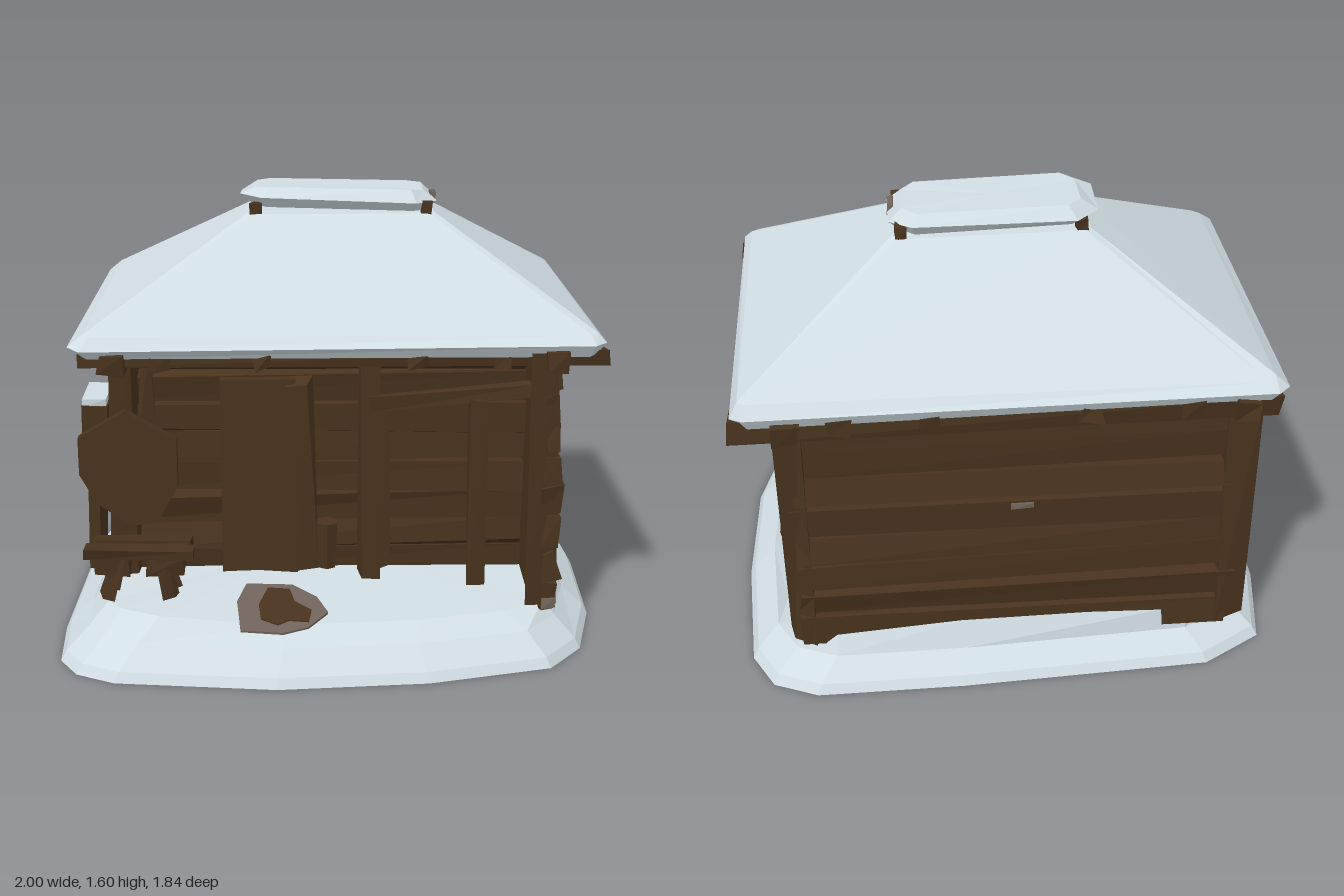
import * as THREE from 'three';

const mat = (name, color) => Object.assign(new THREE.MeshStandardMaterial({ color, flatShading: true }), { name });

export function createModel() {
  const root = new THREE.Group();
  root.name = 'snowyCabin';
  const snow = mat('snow', 0xd0dde3);
  const wood = mat('darkWood', 0x48331e);
  const mud = mat('greyMud', 0x72645b);

  let seed = 7;
  const rnd = () => ((seed = (seed * 16807) % 2147483647) / 2147483647) * 2 - 1;

  const add = (name, geo, m, parent = root) => {
    const mesh = new THREE.Mesh(geo, m);
    mesh.name = name;
    parent.add(mesh);
    return mesh;
  };
  const group = (name) => {
    const g = new THREE.Group();
    g.name = name;
    root.add(g);
    return g;
  };

  // Rough-hewn board: a box whose eight corners are nudged
  const board = (name, [x0, x1], [y0, y1], [z0, z1], parent = root, rough = 0.012, m = wood) => {
    const geo = new THREE.BoxGeometry(x1 - x0, y1 - y0, z1 - z0);
    const nudges = Array.from({ length: 8 }, () => [rnd() * rough, rnd() * rough, rnd() * rough]);
    const p = geo.attributes.position;
    for (let i = 0; i < p.count; i++) {
      const [x, y, z] = [p.getX(i), p.getY(i), p.getZ(i)];
      const n = nudges[(x > 0 ? 1 : 0) + (y > 0 ? 2 : 0) + (z > 0 ? 4 : 0)];
      p.setXYZ(i, x + n[0], y + n[1], z + n[2]);
    }
    geo.computeVertexNormals();
    const mesh = add(name, geo, m, parent);
    mesh.position.set((x0 + x1) / 2, (y0 + y1) / 2, (z0 + z1) / 2);
    return mesh;
  };

  // Closed solid through rings of [x, y, z], listed counter-clockwise from above
  const loft = (rings, topCentre) => {
    const v = [];
    const n = rings[0].length;
    const mean = (r) => [0, 1, 2].map((k) => r.reduce((s, p) => s + p[k], 0) / n);
    const top = rings[rings.length - 1];
    const c0 = mean(rings[0]);
    const c1 = topCentre || mean(top);
    for (let i = 0; i < n; i++) {
      const j = (i + 1) % n;
      for (let r = 0; r + 1 < rings.length; r++) {
        const [a, b, c, d] = [rings[r][i], rings[r][j], rings[r + 1][j], rings[r + 1][i]];
        v.push(...a, ...b, ...c, ...a, ...c, ...d);
      }
      v.push(...c0, ...rings[0][j], ...rings[0][i], ...c1, ...top[i], ...top[j]);
    }
    const g = new THREE.BufferGeometry();
    g.setAttribute('position', new THREE.Float32BufferAttribute(v, 3));
    g.computeVertexNormals();
    return g;
  };

  // Snow bank under the cabin, rounding over towards the walls
  const rim = [[-0.98, 0.68], [-0.91, 0.79], [-0.77, 0.86], [-0.2, 0.92], [0.33, 0.88], [0.77, 0.77], [0.9, 0.61],
    [0.98, 0.3], [1, -0.2], [0.97, -0.7], [0.89, -0.85], [0.73, -0.92], [0.2, -0.92], [-0.7, -0.88], [-0.92, -0.75],
    [-0.98, -0.4], [-1, 0.4]];
  const crest = [[-0.82, 0.17, 0.54], [-0.76, 0.175, 0.62], [-0.62, 0.18, 0.7], [-0.2, 0.15, 0.72], [0.3, 0.15, 0.68],
    [0.62, 0.155, 0.62], [0.77, 0.16, 0.53], [0.83, 0.18, 0.25], [0.84, 0.19, -0.1], [0.83, 0.21, -0.62],
    [0.76, 0.21, -0.72], [0.65, 0.2, -0.78], [0.2, 0.2, -0.79], [-0.64, 0.2, -0.78], [-0.78, 0.2, -0.66],
    [-0.84, 0.2, -0.35], [-0.84, 0.18, 0.3]];
  add('snowBank', loft([
    rim.map(([x, z]) => [x, 0, z]),
    rim.map(([x, z]) => [x * 0.98, 0.035, z * 0.98]),
    rim.map(([x, z]) => [x * 0.9, z > 0.5 ? 0.11 : 0.1, z * 0.9]),
    crest,
  ], [0, 0.2, 0]), snow);

  // Trodden patch before the door, in two tones
  const patch = (name, pts, y, m) => {
    const s = new THREE.Shape(pts.map(([x, z]) => new THREE.Vector2(x, 0.68 - z)));
    const mesh = add(name, new THREE.ExtrudeGeometry(s, { depth: 0.008, bevelEnabled: false }), m);
    mesh.rotation.x = -Math.PI / 2 + 0.11;
    mesh.position.set(0, y, 0.68);
  };
  patch('muddyPatch', [[-0.33, 0.77], [-0.18, 0.79], [-0.09, 0.75], [-0.02, 0.65], [-0.06, 0.54], [-0.15, 0.45],
    [-0.32, 0.44], [-0.35, 0.57]], 0.158, mud);
  patch('bareEarth', [[-0.26, 0.7], [-0.2, 0.74], [-0.16, 0.71], [-0.09, 0.72], [-0.08, 0.64], [-0.14, 0.58],
    [-0.16, 0.49], [-0.24, 0.48], [-0.27, 0.6]], 0.163, wood);

  // Wall core and rows of overlapping planks
  const walls = group('walls');
  board('wallCore', [-0.76, 0.74], [0.12, 1.12], [-0.71, 0.21], walls, 0);
  board('porchSideWall', [0.72, 0.76], [0.12, 1.1], [0.18, 0.53], walls, 0);
  const rows = 8;
  const h = 0.94 / rows;
  for (let i = 0; i < rows; i++) {
    const y = [0.14 + i * h, 0.14 + (i + 1) * h - 0.008];
    const t = 0.025 * (1 - i / rows);
    const tilt = (s) => rnd() * s;
    const turn = (mesh, x, z) => mesh.rotation.set(x, 0, z);
    turn(board('rightPlank', [0.75, 0.81], y, [-0.72, 0.55 + t], walls, 0.014), tilt(0.014), tilt(0.12));
    turn(board('leftPlank', [-0.81, -0.75], y, [-0.74 - t, 0.27], walls, 0.014), tilt(0.014), tilt(0.12));
    turn(board('backPlank', [-0.78, 0.78], y, [-0.76 - t, -0.7], walls, 0.014), tilt(0.12), tilt(0.014));
    turn(board('frontPlank', [-0.78, 0.74], y, [0.2, 0.26], walls, 0.016), tilt(0.2), tilt(0.018));
  }

  // Corner posts
  const posts = group('cornerPosts');
  for (const [x, z] of [[0.77, -0.74], [-0.78, -0.74], [0.75, 0.52], [-0.77, 0.27]]) {
    board('cornerPost', [x - 0.05, x + 0.05], [0.14, 1.1], [z - 0.045, z + 0.045], posts, 0.016);
  }

  // Eave beams and joist ends under the roof
  const eaves = group('eaveBeams');
  board('frontBeam', [-0.9, 0.97], [1.04, 1.1], [0.44, 0.52], eaves);
  board('backBeam', [-0.9, 0.97], [1.03, 1.1], [-0.79, -0.7], eaves);
  for (const x of [-0.78, 0.78]) board('sideBeam', [x - 0.04, x + 0.04], [1.03, 1.1], [-0.82, 0.58], eaves);
  for (const x of [-0.6, -0.25, 0.3, 0.6]) {
    board('joist', [x - 0.035, x + 0.035], [1.04, 1.1], [-0.8, 0.54], eaves);
  }
  for (const z of [-0.5, -0.27, 0.06, 0.3]) {
    board('crossJoist', [-0.9, 0.91], [1.03, 1.1], [z - 0.03, z + 0.03], eaves);
  }

  // Hipped roof of snow with small chamfered corners
  const chamfered = (x0, x1, z0, z1, c, y, wob = 0) => [
    [x0, z1 - c], [x0 + c, z1], [x1 - c, z1], [x1, z1 - c],
    [x1, z0 + c], [x1 - c, z0], [x0 + c, z0], [x0, z0 + c],
  ].map(([x, z]) => [x, y + rnd() * wob, z]);
  add('roof', loft([
    chamfered(-0.89, 0.93, -0.79, 0.54, 0.03, 1.085, 0.006),
    chamfered(-0.93, 0.96, -0.815, 0.57, 0.045, 1.12, 0.012),
    chamfered(-0.88, 0.93, -0.78, 0.53, 0.025, 1.165, 0.008),
    chamfered(-0.31, 0.39, -0.28, 0.02, 0.02, 1.505, 0.004),
  ]), snow);

  // Raised snow cap, tipped to the side, on four stubs over the smoke gap
  const vent = group('roofVent');
  for (const x of [-0.28, 0.36]) {
    for (const z of [-0.26, 0]) board('ventStub', [x - 0.02, x + 0.02], [1.48, 1.545], [z - 0.02, z + 0.02], vent, 0.005);
  }
  board('ventPatch', [0.375, 0.398], [1.525, 1.57], [-0.14, -0.07], vent, 0.004, mud);
  const cap = add('snowCap', loft([
    chamfered(-0.32, 0.33, -0.14, 0.14, 0.05, -0.03, 0.005),
    chamfered(-0.37, 0.37, -0.17, 0.17, 0.08, 0.005, 0.012),
    chamfered(-0.31, 0.32, -0.13, 0.13, 0.05, 0.042, 0.006),
  ]), snow, vent);
  cap.position.set(0.03, 1.55, -0.13);
  cap.rotation.z = -0.025;

  // Door of two boards, one leaning
  const door = group('door');
  board('doorBoard', [-0.41, -0.13], [0.17, 0.94], [0.26, 0.31], door, 0.006);
  board('doorEdge', [-0.17, -0.07], [0.19, 0.93], [0.27, 0.33], door, 0.02).rotation.z = 0.04;

  // Porch posts and rails
  const porch = group('porch');
  board('mainPost', [0.1, 0.18], [0.16, 1.06], [0.28, 0.37], porch);
  board('thinPost', [0.5, 0.56], [0.17, 0.89], [0.35, 0.41], porch);
  board('topRail', [0.14, 0.74], [0.86, 0.92], [0.34, 0.4], porch).rotation.z = 0.08;
  board('thinBrace', [0.18, 0.21], [0.2, 0.86], [0.28, 0.31], porch).rotation.z = 0.02;
  board('wallStud', [-0.71, -0.66], [0.75, 1.06], [0.25, 0.31], porch);

  // Stump beside the door
  const stump = add('stump', new THREE.CylinderGeometry(0.045, 0.035, 0.18, 6), wood);
  stump.position.set(-0.02, 0.3, 0.32);

  // Weathered grey flecks on walls, post foot and snow
  const flecks = group('greyFlecks');
  board('sideFleck', [0.814, 0.822], [0.445, 0.475], [-0.64, -0.35], flecks, 0.002, mud);
  board('frontFleck', [-0.46, -0.38], [0.99, 1.01], [0.27, 0.278], flecks, 0.002, mud);
  board('backFleck', [-0.06, 0.02], [0.69, 0.71], [-0.788, -0.78], flecks, 0.002, mud);
  board('postFoot', [0.76, 0.81], [0.15, 0.185], [0.565, 0.585], flecks, 0.006, mud);

  // Round board hung on the wall
  const disc = new THREE.Shape([[-0.93, 0.6], [-0.87, 0.49], [-0.75, 0.4], [-0.65, 0.41], [-0.57, 0.55],
    [-0.57, 0.73], [-0.76, 0.84], [-0.93, 0.74]].map(([x, y]) => new THREE.Vector2(x, y)));
  const shield = add('hangingBoard', new THREE.ExtrudeGeometry(disc, { depth: 0.045, bevelEnabled: false }), wood);
  shield.position.z = 0.335;

  // Bench with splayed legs
  const bench = group('bench');
  board('seatFront', [-0.9, -0.51], [0.345, 0.38], [0.5, 0.58], bench, 0.008);
  board('seatBack', [-0.88, -0.52], [0.345, 0.38], [0.41, 0.49], bench, 0.008);
  for (const [x, s] of [[-0.8, -1], [-0.61, 1]]) {
    for (const z of [0.44, 0.54]) {
      board('benchLeg', [x - 0.025, x + 0.025], [0.18, 0.35], [z - 0.02, z + 0.02], bench).rotation.z = s * 0.25;
    }
    board('benchBrace', [x - 0.06, x + 0.06], [0.28, 0.345], [0.42, 0.56], bench);
  }

  // Upright plank with a snow-topped box by the left wall
  const marker = group('sidePost');
  board('uprightPlank', [-0.95, -0.905], [0.08, 0.64], [-0.23, 0.03], marker, 0.006).rotation.z = -0.03;
  board('postBox', [-0.97, -0.87], [0.62, 0.745], [-0.27, 0], marker, 0.008);
  board('postSnow', [-0.968, -0.875], [0.745, 0.772], [-0.25, -0.01], marker, 0.004, snow);

  return root;
}
